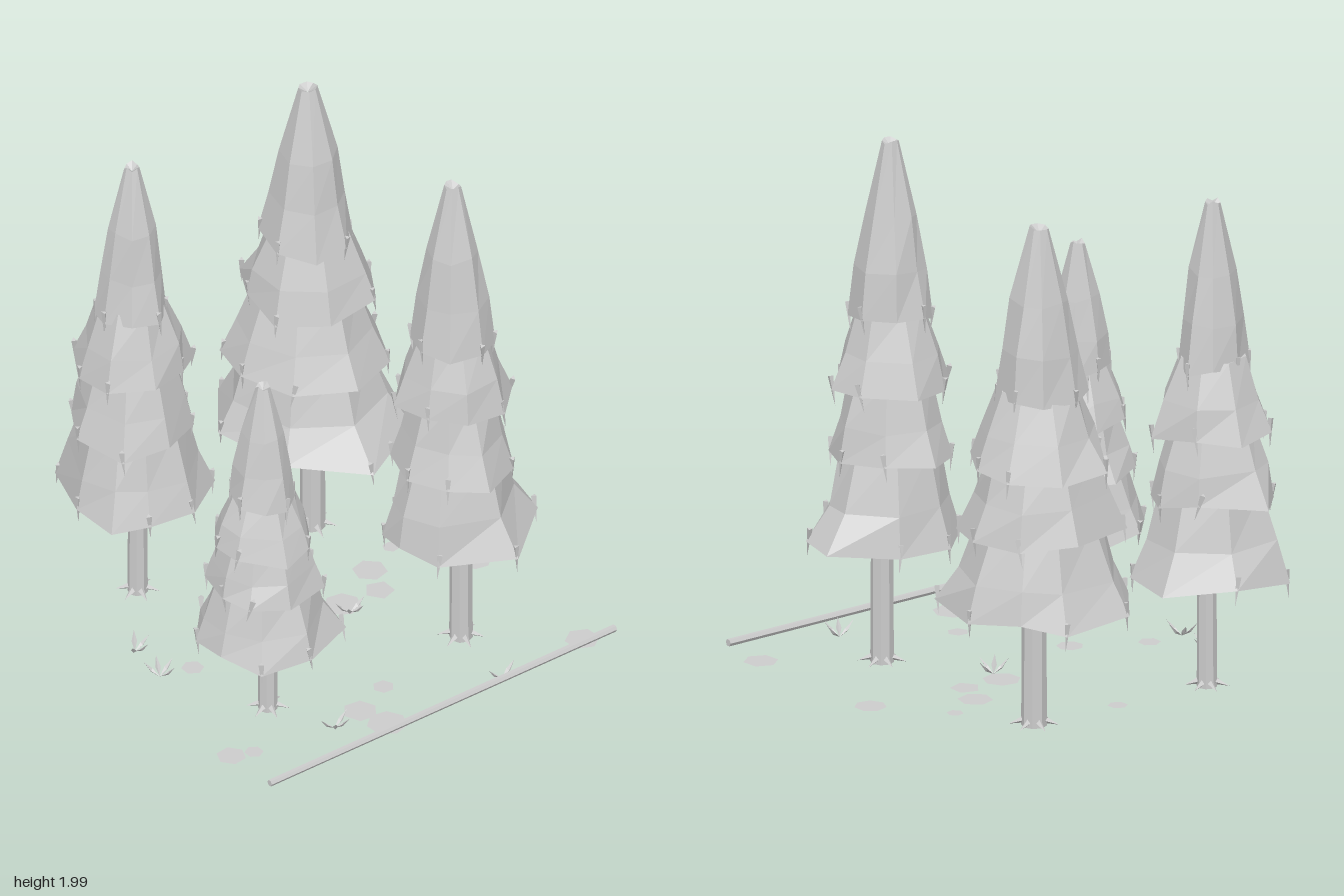
import * as THREE from 'three';

const grey = new THREE.MeshStandardMaterial({ color: 0xcccccc });
grey.name = 'plain grey';
const greyThin = new THREE.MeshStandardMaterial({ color: 0xcccccc, side: THREE.DoubleSide });
greyThin.name = 'plain grey thin';

let seed = 7;
const rand = () => (seed = (seed * 16807) % 2147483647) / 2147483647;
const jitter = (a) => (rand() * 2 - 1) * a;

function part(parent, name, geometry, material = grey) {
  const flat = geometry.index ? geometry.toNonIndexed() : geometry;
  flat.computeVertexNormals();
  const mesh = new THREE.Mesh(flat, material);
  mesh.name = name;
  parent.add(mesh);
  return mesh;
}

// Faceted surface through rings of [x, y, z] points, lowest ring first
function loft(rings) {
  const pos = [];
  for (let k = 0; k + 1 < rings.length; k++) {
    const lo = rings[k], hi = rings[k + 1], n = lo.length;
    for (let i = 0; i < n; i++) {
      const j = (i + 1) % n;
      pos.push(...lo[i], ...hi[i], ...lo[j], ...lo[j], ...hi[i], ...hi[j]);
    }
  }
  const g = new THREE.BufferGeometry();
  g.setAttribute('position', new THREE.Float32BufferAttribute(pos, 3));
  return g;
}

// One skirt of branches: hollow underside, ragged rim, sloping sides
function addTier(tree, rim, profile) {
  const mean = rim.reduce((t, p) => t + Math.hypot(p[0], p[2]), 0) / rim.length;
  const y0 = rim.reduce((t, p) => t + p[1], 0) / rim.length;
  // rings become rounder away from the rim
  const scaled = (s, y, wobble) => rim.map(([x, , z]) => {
    const r = Math.hypot(x, z);
    const f = ((r * 0.3 + mean * 0.7) / r) * s * (1 + jitter(wobble));
    return [x * f, y + jitter(wobble * 0.15), z * f];
  });
  const rings = [scaled(0.01, y0 + 0.1, 0), scaled(0.35, y0 + 0.09, 0), rim];
  for (const [s, y] of profile) rings.push(scaled(s, y, 0.06));
  rings.push(scaled(0.01, profile.at(-1)[1] - 0.02, 0));
  part(tree, 'branchTier', loft(rings));

  // Twigs hanging over the rim corners
  rim.forEach(([x, y, z], i) => {
    if (i % 4 === 2) return;
    const twig = part(tree, 'hangingTwig', new THREE.ConeGeometry(0.012, 0.11, 3).rotateX(Math.PI));
    twig.position.set(x * 0.97, y - 0.005, z * 0.97);
    twig.rotation.set(jitter(0.2), Math.atan2(x, z), jitter(0.2));
  });
}

function addTree(group, { x, z, h, r, trunkR, trunkX, trunkZ, rim, spread }) {
  const tree = new THREE.Group();
  tree.name = 'pineTree';
  tree.position.set(x, 0, z);
  group.add(tree);

  const trunk = part(tree, 'trunk', new THREE.CylinderGeometry(trunkR * 0.9, trunkR, h * 0.4, 8));
  trunk.position.set(trunkX, h * 0.2 + 0.01, trunkZ);
  // Root spikes around the foot
  for (let i = 0; i < 6; i++) {
    const root = part(tree, 'root',
      new THREE.ConeGeometry(0.016, 0.07, 4).rotateZ(-1.9).translate(trunkR + 0.012, 0.024, 0));
    root.rotation.y = (i / 6) * Math.PI * 2 + 0.3;
    root.position.set(trunkX, 0, trunkZ);
  }

  // Lowest tier follows the given rim; wider corners droop lower
  const low = rim.map(([px, pz]) => [px, h * 0.248 - (Math.hypot(px, pz) - r) * 0.12 + jitter(0.018), pz]);
  addTier(tree, low, [[0.82, h * 0.32], [0.64, h * 0.425]]);

  const tiers = [
    [0.4, [[0.83, 0.47], [0.62, 0.56]]],
    [0.535, [[0.82, 0.6], [0.56, 0.69]]],
    [0.67, [[0.83, 0.76], [0.62, 0.86], [0.2, 1]]],
  ];
  tiers.forEach(([y, profile], t) => {
    const ring = [];
    for (let i = 0; i < 8; i++) {
      const a = ((i + 0.4 * t) / 8) * Math.PI * 2 + jitter(0.15);
      const d = r * spread[t] * (0.97 + jitter(0.12));
      // far corners droop, near ones lift
      ring.push([Math.cos(a) * d, h * y + (r * spread[t] - d) * 0.3 + jitter(0.015), Math.sin(a) * d]);
    }
    addTier(tree, ring, profile.map(([k, py]) => [k, py * h]));
  });
}

const trees = [
  { x: -0.38, z: -0.53, h: 1.865, r: 0.28, trunkR: 0.037, trunkX: 0.01, trunkZ: 0.02, spread: [0.92, 0.78, 0.5],
    rim: [[-.15, -.26], [.11, -.28], [.32, -.11], [.27, .14], [.07, .28], [-.11, .25], [-.24, .19], [-.26, .01]] },
  { x: 0.38, z: -0.48, h: 1.915, r: 0.33, trunkR: 0.047, trunkX: 0, trunkZ: 0.03, spread: [0.91, 0.8, 0.55],
    rim: [[-.16, -.32], [.12, -.31], [.23, -.18], [.34, -.01], [.26, .28], [-.03, .43], [-.27, .22], [-.33, -.10]] },
  { x: -0.48, z: 0.37, h: 1.44, r: 0.26, trunkR: 0.036, trunkX: 0.03, trunkZ: -0.01, spread: [0.87, 0.73, 0.51],
    rim: [[-.1, -.24], [.17, -.25], [.3, -.05], [.27, .14], [.03, .25], [-.16, .2], [-.23, .05], [-.23, -.1]] },
  { x: 0.345, z: 0.42, h: 1.995, r: 0.275, trunkR: 0.043, trunkX: 0.03, trunkZ: 0.01, spread: [0.92, 0.78, 0.54],
    rim: [[-.08, -.25], [.13, -.22], [.35, -.07], [.31, .1], [.06, .31], [-.19, .16], [-.25, .01], [-.23, -.12]] },
];

// Flat ground patches: x, z, radius, sides
const patches = [
  [.01, -.47, .037, 6], [.52, -.17, .032, 6], [.37, -.1, .065, 6], [.16, .01, .07, 7], [.32, .02, .057, 5],
  [.71, .08, .06, 7], [-.51, -.005, .042, 6], [-.26, .14, .05, 7], [-.74, .52, .055, 6], [-.66, .55, .035, 6],
  [-.2, .58, .065, 6], [-.17, .7, .075, 7], [-.04, .51, .04, 6], [.71, .71, .065, 6],
];

// Grass tufts: x, z, direction
const tufts = [[-.615, -.21, 5.6], [-.64, -.03, 0.6], [.15, .07, 4.5], [-.34, .61, 4.7], [.33, .73, 4.7]];

// Creased diamond leaf pointing along +x and up
function leaf() {
  const p = [[0, 0, 0], [.03, .025, .01], [.06, .055, 0], [.03, .025, -.01], [.033, .016, 0]];
  const g = new THREE.BufferGeometry();
  const order = [0, 1, 4, 1, 2, 4, 2, 3, 4, 3, 0, 4];
  g.setAttribute('position', new THREE.Float32BufferAttribute(order.flatMap((i) => p[i]), 3));
  return g;
}

export function createModel() {
  seed = 7;
  const group = new THREE.Group();
  group.name = 'pineGrove';
  trees.forEach((t) => addTree(group, t));

  for (const [x, z, r, sides] of patches) {
    const patch = part(group, 'groundPatch', new THREE.CircleGeometry(r, sides).rotateX(-Math.PI / 2), greyThin);
    patch.position.set(x, 0.01, z);
    patch.rotation.y = rand() * 2;
  }

  for (const [x, z, dir] of tufts) {
    for (let i = 0; i < 4; i++) {
      const blade = part(group, 'grassBlade', leaf(), greyThin);
      blade.position.set(x, 0.012, z);
      blade.rotation.y = dir + (i - 1.5) * 1.1;
    }
  }

  // Long thin pole lying along the front edge
  const pole = part(group, 'pole', new THREE.CylinderGeometry(0.014, 0.013, 1.57, 6).rotateZ(-Math.PI / 2));
  pole.position.set(0.005, 0.066, 0.798);
  pole.rotation.z = 0.008;
  return group;
}
